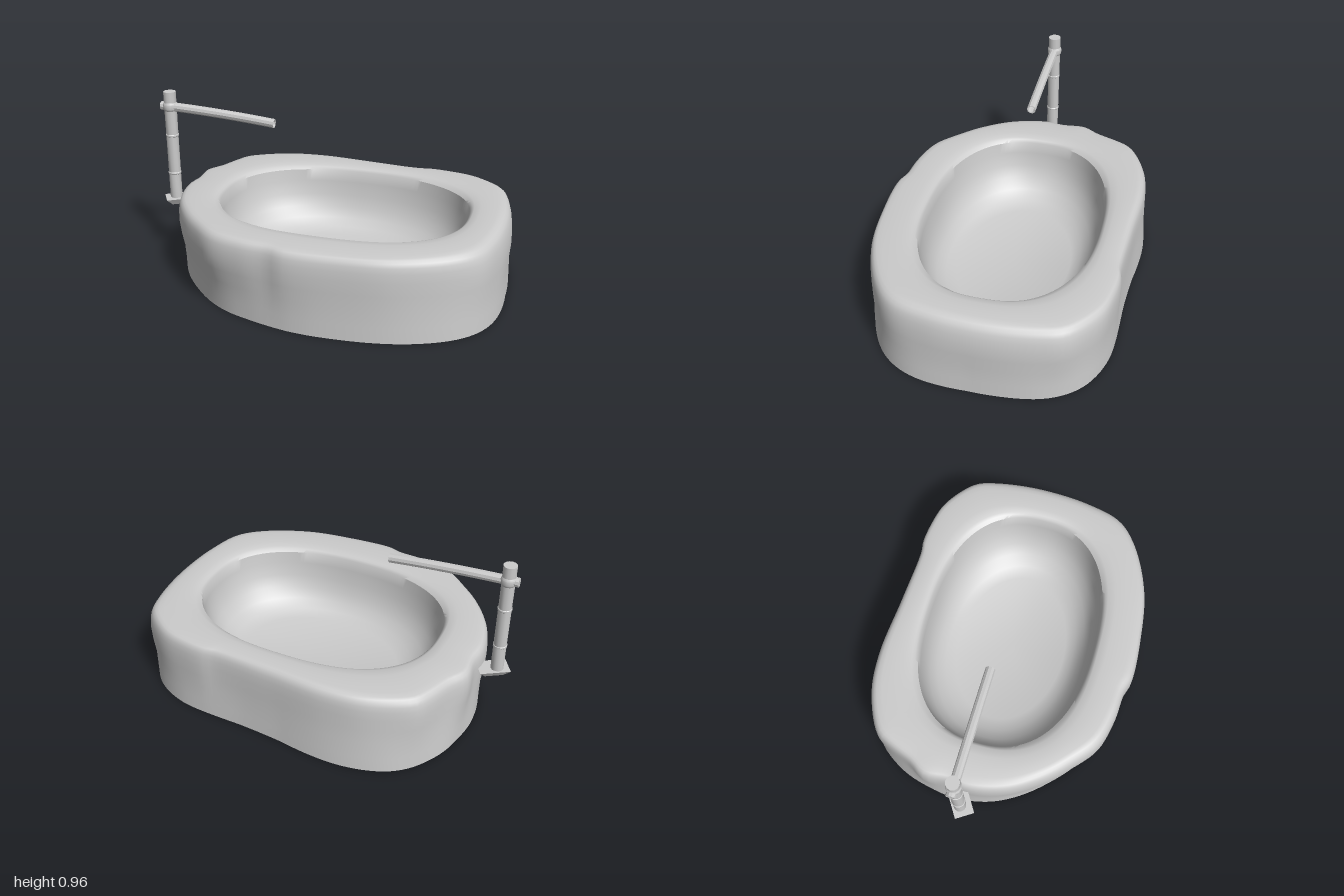
import * as THREE from 'three';
import { toCreasedNormals } from 'three/addons/utils/BufferGeometryUtils.js';

const material = new THREE.MeshStandardMaterial({ color: 0xcccccc, side: THREE.DoubleSide });
const N = 160;

function addMesh(group, name, geometry, x = 0, y = 0, z = 0) {
  const mesh = new THREE.Mesh(geometry, material);
  mesh.name = name;
  mesh.position.set(x, y, z);
  group.add(mesh);
  return mesh;
}

// Skin a list of closed rings (each N points) into one surface
function loft(rings) {
  const index = [];
  for (let i = 0; i < rings.length - 1; i++) {
    for (let j = 0; j < N; j++) {
      const k = (j + 1) % N;
      const a = i * N + j, b = i * N + k, c = (i + 1) * N + k, d = (i + 1) * N + j;
      index.push(a, b, c, a, c, d);
    }
  }
  const geometry = new THREE.BufferGeometry().setFromPoints(rings.flat());
  geometry.setIndex(index);
  return toCreasedNormals(geometry, 0.7);
}

// Hewn stone block with a hollowed bowl
function stoneBasin() {
  const outlinePoints = [
    [0.99, 0], [0.985, -0.19], [0.955, -0.37], [0.925, -0.46], [0.875, -0.52], [0.725, -0.62], [0.58, -0.655],
    [0.46, -0.665], [0.39, -0.655], [0.08, -0.67], [-0.26, -0.69], [-0.48, -0.66], [-0.69, -0.555],
    [-0.735, -0.48], [-0.79, -0.345], [-0.845, -0.25], [-0.838, -0.12], [-0.85, 0], [-0.8, 0.2],
    [-0.69, 0.375], [-0.575, 0.495], [-0.44, 0.605], [-0.26, 0.655], [-0.11, 0.668], [-0.03, 0.692],
    [0.24, 0.683], [0.51, 0.64], [0.78, 0.52], [0.91, 0.4], [0.97, 0.2],
  ].map(([x, z]) => new THREE.Vector3(x, 0, z));
  const curve = new THREE.CatmullRomCurve3(outlinePoints, true, 'centripetal');
  const outline = curve.getSpacedPoints(N).slice(0, N);

  // The foot follows a smoothed, slightly skewed copy of the ragged outline
  const foot = outline.map((_, j) => {
    const p = new THREE.Vector3();
    for (let k = -5; k <= 5; k++) p.add(outline[(j + k + N) % N]);
    p.divideScalar(11);
    const corner = p.x * p.z / p.lengthSq();
    const skew = 0.045 * corner + 0.035 * Math.abs(corner) * (p.x - p.z) / p.length();
    return p.multiplyScalar(1.002 + skew).add(new THREE.Vector3(0, 0, -0.006));
  });

  // Ring around the bowl: half-width, half-depth, height, squareness
  const centre = new THREE.Vector3(0.083, 0, -0.025);
  const angles = outline.map((p) => Math.atan2(p.z - centre.z, p.x - centre.x));
  const bowlRing = (a, b, y, power) => angles.map((t) => {
    const r = Math.pow(Math.pow(Math.abs(Math.cos(t)) / a, power) + Math.pow(Math.abs(Math.sin(t)) / b, power), -1 / power);
    return new THREE.Vector3(centre.x + r * Math.cos(t), y, centre.z + r * Math.sin(t));
  });

  const rings = [foot.map(() => new THREE.Vector3(0.07, 0, 0))];
  // Outer wall: height, blend from foot to outline, scale; the +x end leans inward near the top
  const lean = (p, y) => {
    p.x -= 0.12 * Math.max(0, y - 0.28) * Math.pow(Math.max(0, p.x), 4);
    return p.setY(y);
  };
  for (const [y, blend, scale] of [
    [0, 0, 1], [0.08, 0.15, 0.997], [0.17, 0.45, 0.993], [0.25, 0.8, 0.998], [0.32, 1, 1], [0.37, 1, 0.998],
    [0.4, 1, 0.992], [0.42, 1, 0.983], [0.433, 1, 0.968],
  ]) {
    rings.push(foot.map((p, j) => lean(p.clone().lerp(outline[j], blend).multiplyScalar(scale), y)));
  }
  // Gently uneven top, from the rounded edge to the bowl
  const lip = bowlRing(0.7, 0.497, 0, 2.6);
  for (const [f, y] of [[0, 0.439], [0.15, 0.442], [0.45, 0.444], [0.75, 0.443], [1, 0.438]]) {
    rings.push(outline.map((p, j) => {
      const q = lean(p.clone().multiplyScalar(0.95), 0.439).lerp(lip[j], f);
      return q.setY(y + 0.003 * Math.sin(3 * angles[j] + 1) * (1 - f));
    }));
  }
  // Softened lip, steep bowl wall and flat floor
  for (const ring of [
    [0.69, 0.486, 0.431, 2.5], [0.68, 0.476, 0.417, 2.38], [0.672, 0.469, 0.35, 2.36], [0.655, 0.456, 0.27, 2.34],
    [0.625, 0.435, 0.2, 2.3], [0.58, 0.404, 0.145, 2.2], [0.52, 0.362, 0.106, 2.1], [0.447, 0.312, 0.08, 2],
    [1e-4, 1e-4, 0.08, 2],
  ]) rings.push(bowlRing(...ring));
  return loft(rings);
}

// Bamboo post with nodes, collar and a drooping spout
function bambooSpout() {
  const group = new THREE.Group();
  group.name = 'bambooSpout';
  const x = -0.925, z = -0.022;

  const profile = [
    [0, 0.325], [0.034, 0.325], [0.034, 0.478], [0.037, 0.481], [0.037, 0.489], [0.034, 0.492],
    [0.034, 0.703], [0.037, 0.706], [0.037, 0.714], [0.034, 0.717], [0.035, 0.962], [0, 0.962],
  ].map(([r, y]) => new THREE.Vector2(r, y));
  addMesh(group, 'post', toCreasedNormals(new THREE.LatheGeometry(profile, 12), 0.6), x, 0, z);

  const collar = [[0.034, 0.852], [0.041, 0.864], [0.041, 0.89], [0.034, 0.902]].map(([r, y]) => new THREE.Vector2(r, y));
  addMesh(group, 'collar', toCreasedNormals(new THREE.LatheGeometry(collar, 12), 0.6), x, 0, z);

  const path = new THREE.QuadraticBezierCurve3(
    new THREE.Vector3(-0.978, 0.877, z), new THREE.Vector3(-0.64, 0.867, z), new THREE.Vector3(-0.31, 0.833, z));
  const tube = (radius) => toCreasedNormals(new THREE.TubeGeometry(path, 12, radius, 10, false), 0.5);
  addMesh(group, 'spout', tube(0.025));
  addMesh(group, 'spoutBore', tube(0.02));
  // Rim closing the pipe wall at the mouth, and a plug at the back
  const mouth = addMesh(group, 'spoutMouth', new THREE.RingGeometry(0.02, 0.025, 10), -0.31, 0.833, z);
  mouth.rotation.y = Math.PI / 2;
  const plug = addMesh(group, 'spoutPlug', new THREE.CircleGeometry(0.025, 10), -0.978, 0.877, z);
  plug.rotation.y = -Math.PI / 2;

  // Wedge bracket tapering downward, set at an angle into the stone
  const wedge = new THREE.BoxGeometry(0.16, 0.035, 0.105);
  const p = wedge.attributes.position;
  for (let i = 0; i < p.count; i++) {
    if (p.getY(i) < 0) p.setXYZ(i, p.getX(i) * 0.6, p.getY(i), p.getZ(i) * 0.6);
  }
  wedge.computeVertexNormals();
  const bracket = addMesh(group, 'bracket', wedge, -0.905, 0.319, -0.025);
  bracket.rotation.y = 0.57;
  return group;
}

export function createModel() {
  const model = new THREE.Group();
  model.name = 'stoneWaterBasin';
  addMesh(model, 'stoneBasin', stoneBasin());
  model.add(bambooSpout());
  return model;
}
